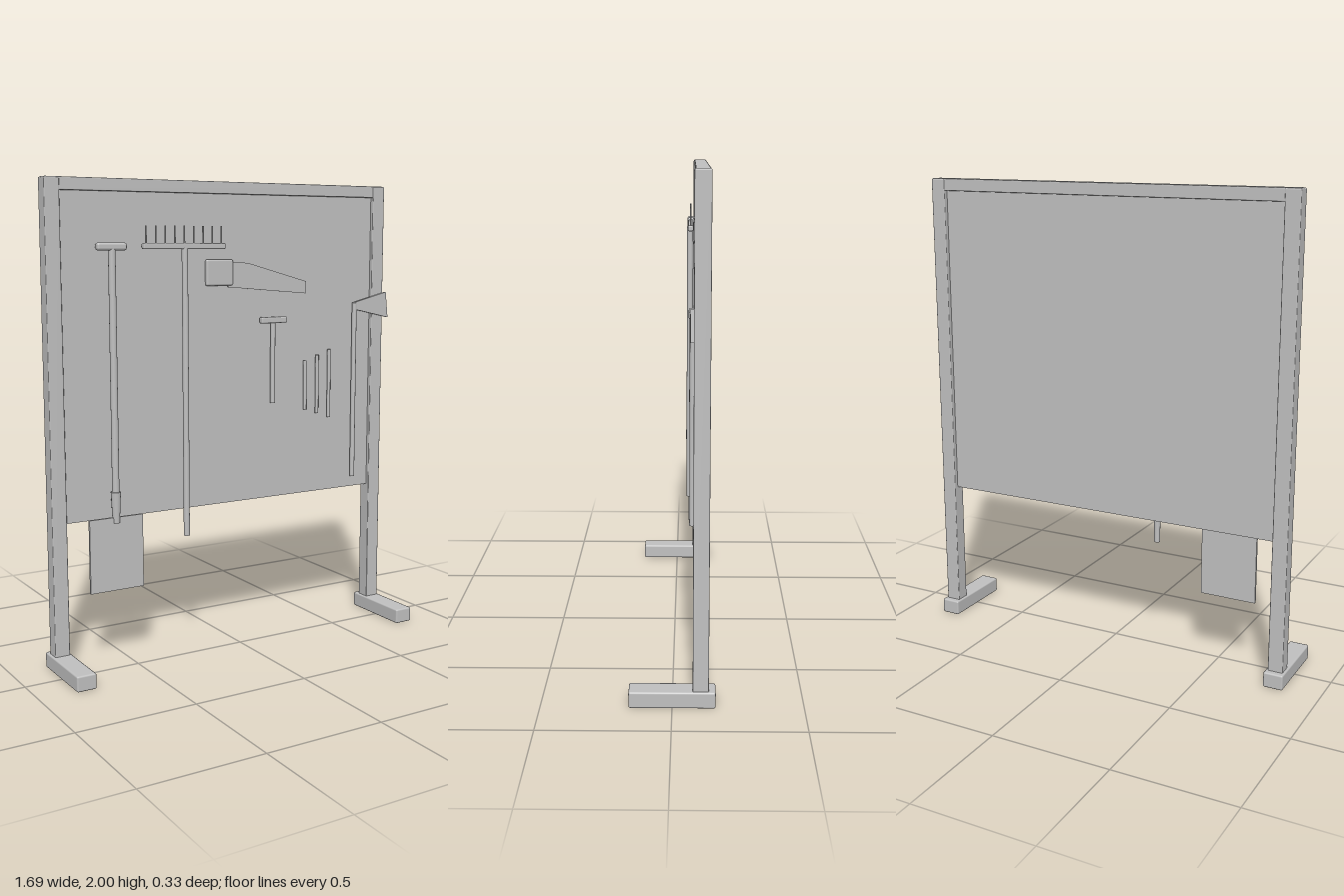
import * as THREE from 'three';
import { RoundedBoxGeometry } from 'three/addons/geometries/RoundedBoxGeometry.js';

export function createModel() {
  const model = new THREE.Group();
  model.name = 'toolBoard';
  const grey = new THREE.MeshStandardMaterial({ color: 0xc0c0c0 });
  grey.name = 'plain grey';

  const add = (parent, name, geometry) => {
    const mesh = new THREE.Mesh(geometry, grey);
    mesh.name = name;
    parent.add(mesh);
    return mesh;
  };
  const group = (name) => {
    const g = new THREE.Group();
    g.name = name;
    model.add(g);
    return g;
  };
  // Box given by its limits on each axis, with softened edges when r > 0
  const box = (parent, name, [x0, x1], [y0, y1], [z0, z1], r = 0) => {
    const size = [x1 - x0, y1 - y0, z1 - z0];
    const geometry = r ? new RoundedBoxGeometry(...size, 2, r) : new THREE.BoxGeometry(...size);
    add(parent, name, geometry).position.set((x0 + x1) / 2, (y0 + y1) / 2, (z0 + z1) / 2);
  };
  // Upright round rod from y0 to y1
  const rod = (parent, name, x, y0, y1, z, r, rTop = r, sides = 12) => {
    add(parent, name, new THREE.CylinderGeometry(rTop, r, y1 - y0, sides)).position.set(x, (y0 + y1) / 2, z);
  };
  // Flat outline given depth, from z0 to z1
  const plate = (parent, name, points, z0, z1) => {
    const shape = new THREE.Shape(points.map(([x, y]) => new THREE.Vector2(x, y)));
    const geometry = new THREE.ExtrudeGeometry(shape, { depth: z1 - z0, bevelEnabled: false });
    add(parent, name, geometry).position.z = z0;
  };

  // Frame: two feet, two posts, top beam and recessed panel
  const frame = group('frame');
  const mid = -0.007;
  for (const side of [-1, 1]) {
    const x = mid + side * 0.797;
    const label = side > 0 ? 'left' : 'right';
    box(frame, label + 'Foot', [x - 0.042, x + 0.042], [0, 0.065], [-0.165, 0.165], 0.007);
    box(frame, label + 'Post', [x - 0.032, x + 0.032], [0.06, 1.998], [-0.139, -0.078], 0.004);
  }
  box(frame, 'topBeam', [mid - 0.827, mid + 0.827], [1.949, 2], [-0.137, -0.08], 0.004);
  box(frame, 'panel', [mid - 0.77, mid + 0.77], [0.615, 1.955], [-0.118, -0.095]);

  // Shovel
  const shovel = group('shovel');
  rod(shovel, 'shovelHandle', -0.56, 0.62, 1.725, -0.065, 0.015);
  rod(shovel, 'shovelSocket', -0.56, 0.6, 0.73, -0.065, 0.015, 0.021);
  box(shovel, 'shovelGrip', [-0.628, -0.497], [1.715, 1.746], [-0.081, -0.05], 0.01);
  box(shovel, 'shovelBlade', [-0.682, -0.44], [0.313, 0.624], [-0.07, -0.059]);

  // Rake
  const rake = group('rake');
  rod(rake, 'rakeHandle', -0.23, 0.503, 1.725, -0.062, 0.013);
  box(rake, 'rakeHead', [-0.423, -0.037], [1.72, 1.744], [-0.076, -0.053], 0.005);
  for (let i = 0; i < 9; i++) rod(rake, 'rakeTine', -0.407 + i * 0.0443, 1.74, 1.815, -0.065, 0.0035, 0.0035, 8);

  // Saw
  const saw = group('saw');
  box(saw, 'sawHandle', [-0.117, 0.013], [1.565, 1.676], [-0.097, -0.075], 0.008);
  plate(saw, 'sawBlade', [[-0.01, 1.558], [0.392, 1.523], [0.392, 1.577], [0.09, 1.66], [-0.01, 1.665]], -0.088, -0.082);

  // Hammer
  const hammer = group('hammer');
  rod(hammer, 'hammerHandle', 0.212, 1.045, 1.405, -0.072, 0.011);
  box(hammer, 'hammerHead', [0.148, 0.28], [1.398, 1.425], [-0.084, -0.058], 0.006);

  // Three chisels of growing length
  const chisels = group('chisels');
  for (let i = 0; i < 3; i++) {
    rod(chisels, 'chisel', 0.39 + i * 0.066, 1.001 - i * 0.022, 1.223 + i * 0.022, -0.08, 0.008);
  }

  // Axe
  const axe = group('axe');
  rod(axe, 'axeHandle', 0.657, 0.668, 1.475, -0.074, 0.011);
  plate(axe, 'axeHead', [[0.655, 1.445], [0.845, 1.403], [0.832, 1.52], [0.655, 1.477]], -0.079, -0.066);

  return model;
}
